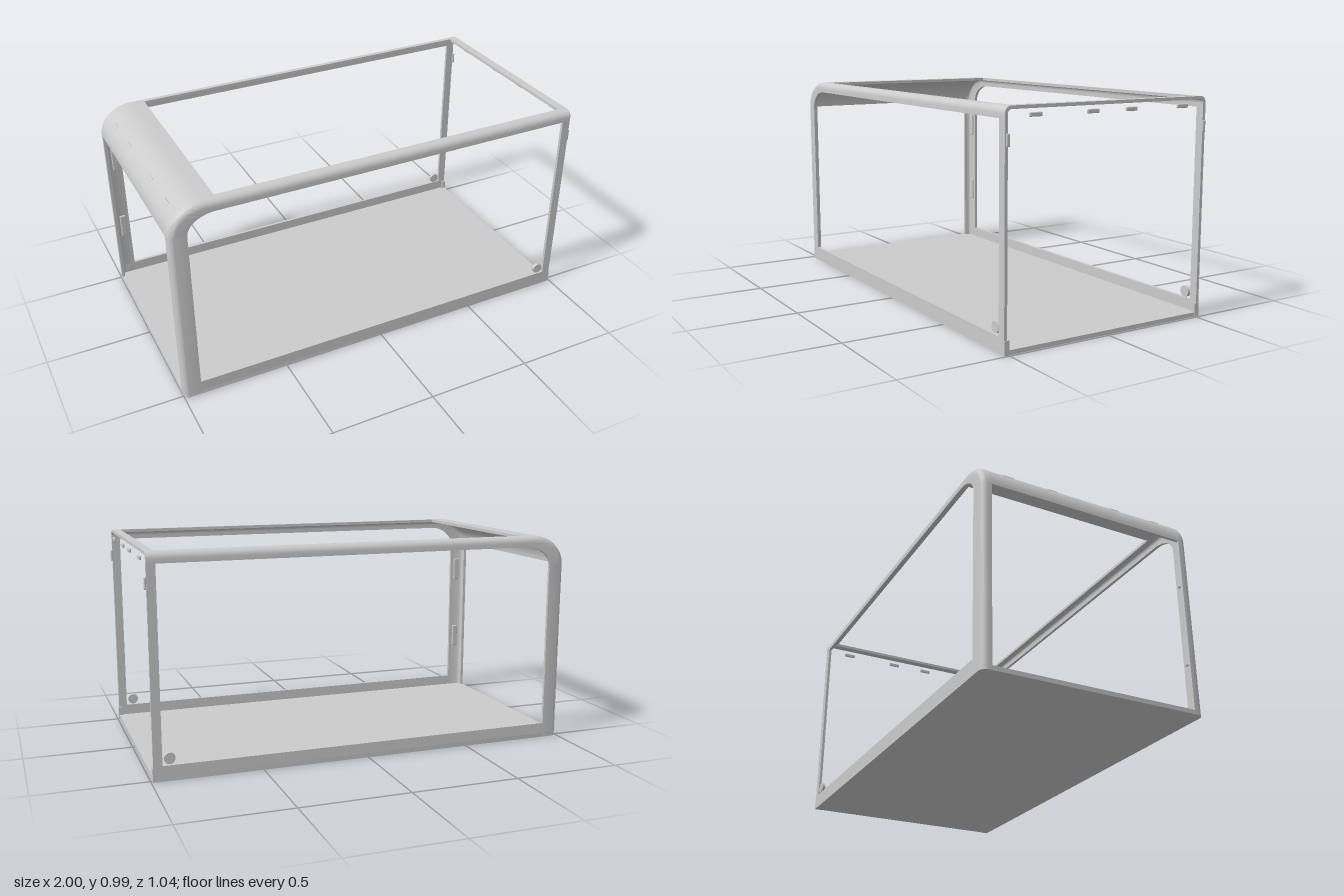
import * as THREE from 'three';
import { toCreasedNormals } from 'three/addons/utils/BufferGeometryUtils.js';
import { RoundedBoxGeometry } from 'three/addons/geometries/RoundedBoxGeometry.js';

const mat = new THREE.MeshStandardMaterial({ color: 0xcccccc, side: THREE.DoubleSide });
const H = 0.99, HALF = 0.52, LIP = 0.475, R = 0.03, T = 0.014, END = 0.99;
const ARC = 14;

// Rounded top corner: outer point, inward normal and opening edge at each step
function cornerPoint(i) {
  const a = (i / ARC) * Math.PI / 2, c = Math.cos(a), s = Math.sin(a);
  return {
    o: new THREE.Vector2(-0.84 - 0.16 * c, 0.85 + 0.14 * s),
    n: new THREE.Vector2(c / 0.16, -s / 0.14).normalize(),
    e: new THREE.Vector2(-0.79 - 0.13 * c, 0.85 + 0.09 * s),
  };
}
const corner = Array.from({ length: ARC + 1 }, (_, i) => cornerPoint(i));

// Rounded L section swept up the post, round the corner and along the top
function railGeometry(side) {
  const v = (x, y) => new THREE.Vector2(x, y);
  const path = [
    { o: v(-1, 0), n: v(1, 0), e: v(-0.92, 0) }, ...corner,
    { o: v(END, H), n: v(0, -1), e: v(END, 0.94) },
  ];
  const outer = [[0, LIP]], inner = [[T, LIP]];
  for (let k = 0; k <= 6; k++) {
    const a = (k / 6) * Math.PI / 2, c = Math.cos(a), s = Math.sin(a);
    outer.push([R - R * c, HALF - R + R * s]);
    inner.push([R - (R - T) * c, HALF - R + (R - T) * s]);
  }
  outer.push(['edge', HALF]);
  inner.push(['edge', HALF - T]);
  const loop = [...outer, ...inner.slice().reverse()], n = loop.length;
  const pos = [], idx = [];
  const tri = (a, b, c) => (side > 0 ? idx.push(a, b, c) : idx.push(a, c, b));
  const quad = (a, b, c, d) => { tri(a, b, c); tri(a, c, d); };
  path.forEach((p, i) => {
    for (const [d, z] of loop) {
      const q = d === 'edge' ? p.e : p.o.clone().addScaledVector(p.n, d);
      pos.push(q.x, q.y, z * side);
    }
    if (i === path.length - 1) return;
    for (let j = 0; j < n; j++) {
      const k = (j + 1) % n;
      quad(i * n + j, i * n + k, (i + 1) * n + k, (i + 1) * n + j);
    }
  });
  const last = (path.length - 1) * n;
  for (let k = 0; k < outer.length - 1; k++) {
    quad(last + k, last + k + 1, last + n - 2 - k, last + n - 1 - k);
    quad(n - 1 - k, n - 2 - k, k + 1, k);
  }
  const g = new THREE.BufferGeometry();
  g.setAttribute('position', new THREE.Float32BufferAttribute(pos, 3));
  g.setIndex(idx);
  return toCreasedNormals(g, 0.6);
}

export function createModel() {
  const model = new THREE.Group();
  const add = (name, geo, x = 0, y = 0, z = 0) => {
    const m = new THREE.Mesh(geo, mat);
    m.name = name;
    m.position.set(x, y, z);
    model.add(m);
    return m;
  };
  // Box given by its minimum and maximum corners
  const span = (name, x0, x1, y0, y1, z0, z1) =>
    add(name, new THREE.BoxGeometry(x1 - x0, y1 - y0, z1 - z0),
      (x0 + x1) / 2, (y0 + y1) / 2, (z0 + z1) / 2);
  const mirrored = (name, x0, x1, y0, y1, z0, z1) => {
    span(name, x0, x1, y0, y1, z0, z1);
    span(name, x0, x1, y0, y1, -z1, -z0);
  };

  // Floor plate with two rounded corners
  const plate = new THREE.Shape();
  plate.moveTo(END, -HALF);
  plate.lineTo(END, HALF);
  plate.lineTo(-1 + R, HALF);
  plate.absarc(-1 + R, HALF - R, R, Math.PI / 2, Math.PI, false);
  plate.absarc(-1 + R, -HALF + R, R, Math.PI, Math.PI * 1.5, false);
  const floor = new THREE.ExtrudeGeometry(plate, { depth: 0.02, bevelEnabled: false, curveSegments: 6 });
  floor.rotateX(-Math.PI / 2);
  add('floor', toCreasedNormals(floor, 0.6));

  // Curved roof panel between the two rails
  const under = corner.map(p => p.o.clone().addScaledVector(p.n, T)).reverse();
  const roof = new THREE.Shape([
    ...corner.map(p => p.o), new THREE.Vector2(-0.78, H), new THREE.Vector2(-0.78, H - T), ...under,
  ]);
  add('curvedRoof', toCreasedNormals(
    new THREE.ExtrudeGeometry(roof, { depth: LIP * 2, bevelEnabled: false }), 0.6), 0, 0, -LIP);

  // Side frames
  for (const s of [1, -1]) add(s > 0 ? 'frontRail' : 'backRail', railGeometry(s));
  mirrored('bottomStrip', -0.97, END, 0, 0.07, HALF - T, HALF);
  mirrored('endPost', 0.95, END, 0.07, 0.945, HALF - T, HALF);
  span('topEndBar', 0.95, END, H - T, H, -LIP, LIP);
  mirrored('cornerTab', 0.975, 0.993, 0, 0.062, 0.496, HALF);

  // Round knobs near the open end
  for (const s of [1, -1]) {
    const knob = new THREE.CylinderGeometry(0.025, 0.025, 0.016, 24);
    add('knob', knob.rotateX(Math.PI / 2), 0.917, 0.1, s * 0.51);
  }

  // Latches on the open end
  for (const z of [-0.38, -0.1, 0.1, 0.38])
    add('topLatch', new RoundedBoxGeometry(0.01, 0.018, 0.06, 2, 0.004), 0.994, 0.952, z);
  for (const s of [1, -1])
    add('sideLatch', new RoundedBoxGeometry(0.01, 0.052, 0.016, 2, 0.004), 0.994, 0.858, s * 0.508);

  // Catches in the roof curve and inside the rounded posts
  for (const z of [-0.375, -0.16, 0.16, 0.375]) {
    const c = add('roofCatch', new RoundedBoxGeometry(0.016, 0.024, 0.055, 2, 0.004), -0.952, 0.942, z);
    c.rotation.z = -0.75;
  }
  for (const s of [1, -1])
    for (const y of [0.31, 0.7])
      add('postCatch', new RoundedBoxGeometry(0.03, 0.12, 0.012, 3, 0.005), -0.952, y, s * 0.503);

  return model;
}
